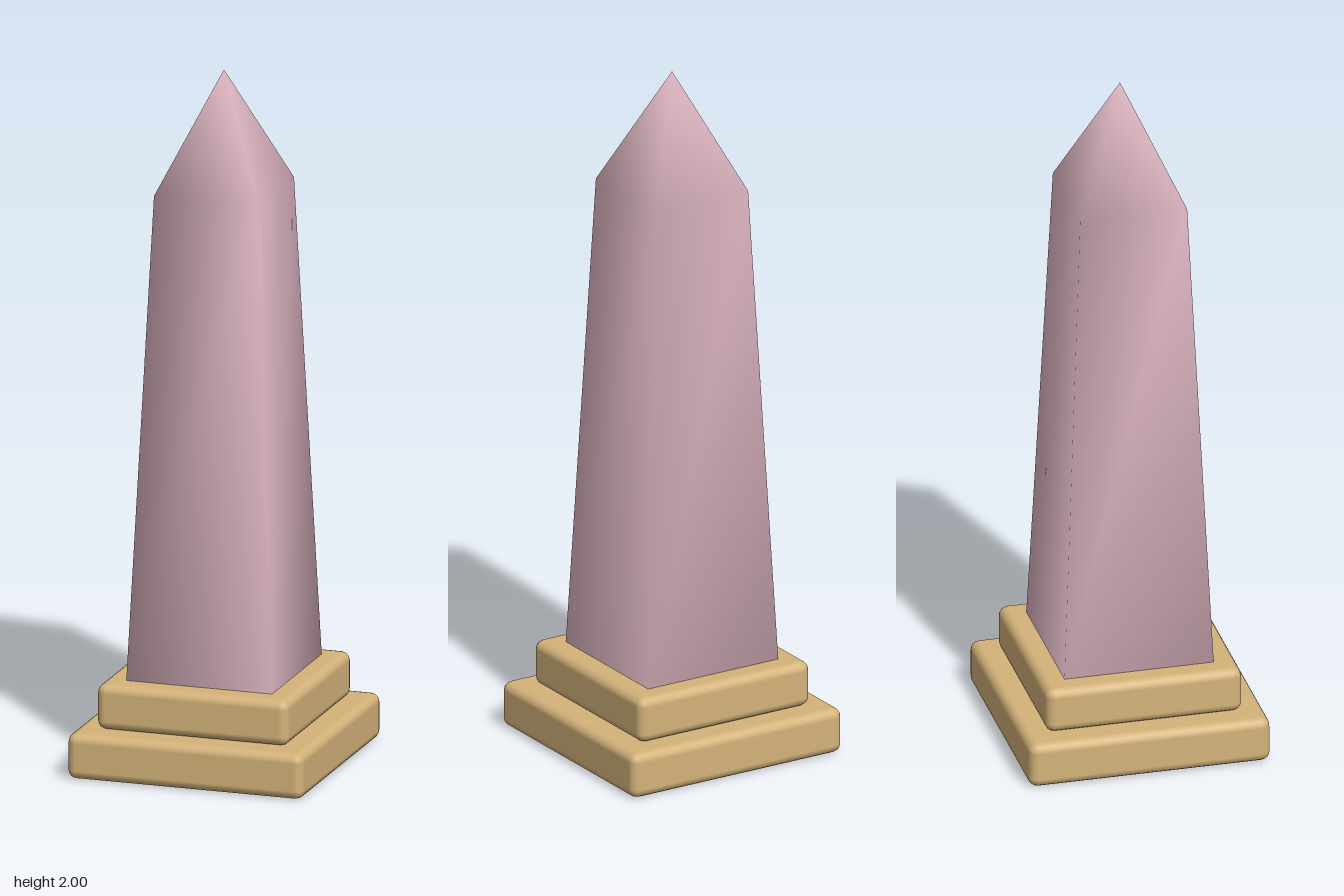
import * as THREE from 'three';
import { RoundedBoxGeometry } from 'three/addons/geometries/RoundedBoxGeometry.js';

const pink = new THREE.MeshStandardMaterial({ color: 0xe0b8c4 });
pink.name = 'rose stone';
const gold = new THREE.MeshStandardMaterial({ color: 0xd4b37a });
gold.name = 'sandy gold';

// Closed square shaft: rings of shared corners, so normals blend round the edges
function shaftGeometry(rings, apexY) {
  const points = [];
  const index = [];
  for (const [half, y] of rings) {
    points.push(-half, y, half, half, y, half, half, y, -half, -half, y, -half);
  }
  const apex = rings.length * 4;
  points.push(0, apexY, 0);
  const last = apex - 4;
  for (let i = 0; i < 4; i++) {
    const j = (i + 1) % 4;
    for (let r = 0; r < last; r += 4) {
      index.push(r + i, r + j, r + 4 + j, r + i, r + 4 + j, r + 4 + i);
    }
    index.push(last + i, last + j, apex);
  }
  index.push(0, 2, 1, 0, 3, 2); // underside
  const geometry = new THREE.BufferGeometry();
  geometry.setAttribute('position', new THREE.Float32BufferAttribute(points, 3));
  geometry.setIndex(index);
  geometry.computeVertexNormals();
  return geometry;
}

export function createModel() {
  const model = new THREE.Group();
  model.name = 'obelisk';

  const add = (name, geometry, material, y = 0) => {
    const mesh = new THREE.Mesh(geometry, material);
    mesh.name = name;
    mesh.position.y = y;
    model.add(mesh);
  };

  // Two rounded steps of the plinth
  const steps = [
    ['lowerStep', 0.695, 0, 0.132],
    ['upperStep', 0.565, 0.132, 0.264],
  ];
  for (const [name, width, bottom, top] of steps) {
    const box = new RoundedBoxGeometry(width, top - bottom, width, 2, 0.026);
    add(name, box, gold, (bottom + top) / 2);
  }

  // Tapered shaft with its pointed cap
  add('shaft', shaftGeometry([[0.215, 0.262], [0.154, 1.66]], 2), pink);

  return model;
}
